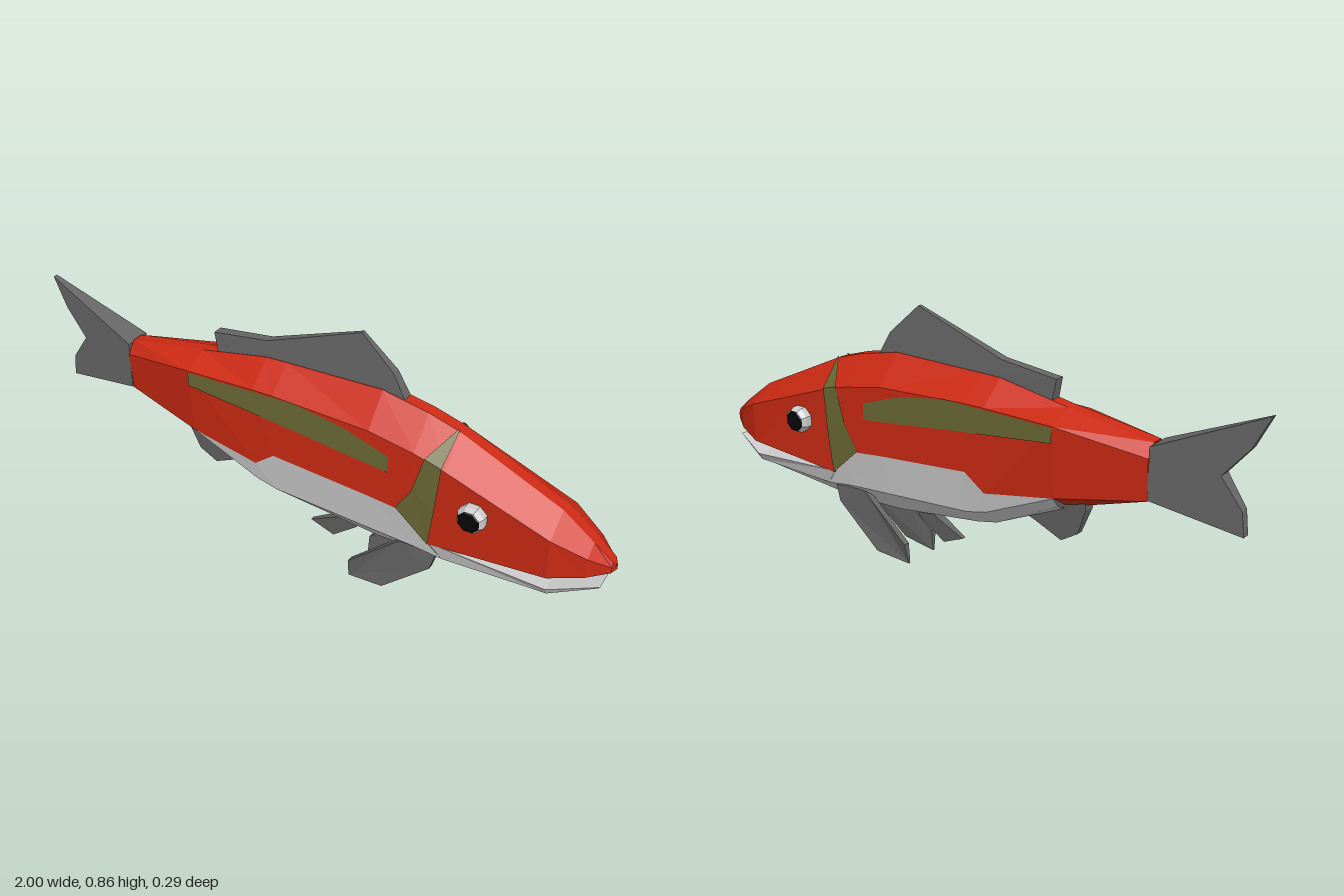
import * as THREE from 'three';

const material = (color) => new THREE.MeshStandardMaterial({ color, flatShading: true, side: THREE.DoubleSide });
const red = material(0xcc2a14), green = material(0x6b6834), pale = material(0xcccccc);
const finGrey = material(0x666666), black = material(0x080808);

// Rows run tail to nose, listed from upper to lower; the skin is mirrored across z = 0.
function skin(name, rows, mat) {
  const pos = [];
  const quad = (a, b, c, d, s) => {
    const order = s > 0 ? [a, b, c, a, c, d] : [a, c, b, a, d, c];
    for (const p of order) pos.push(p[0], p[1], p[2] * s);
  };
  for (let j = 0; j < rows.length - 1; j++)
    for (let i = 0; i < rows[j].length - 1; i++)
      for (const s of [1, -1])
        quad(rows[j][i], rows[j + 1][i], rows[j + 1][i + 1], rows[j][i + 1], s);
  const geo = new THREE.BufferGeometry();
  geo.setAttribute('position', new THREE.Float32BufferAttribute(pos, 3));
  geo.computeVertexNormals();
  const mesh = new THREE.Mesh(geo, mat);
  mesh.name = name;
  return mesh;
}

const row = (xs, ys, zs) => xs.map((x, i) => [x, ys[i], zs[i]]);
const centre = (r, lift = 0) => r.map(([x, y]) => [x, y + lift, 0]);

// Fin from an outline; half(x, y) is the half thickness and mid(x, y) the sideways position.
function fin(name, outline, half, mid = () => 0) {
  const shape = new THREE.Shape(outline.map(([x, y]) => new THREE.Vector2(x, y)));
  const geo = new THREE.ExtrudeGeometry(shape, { depth: 2, bevelEnabled: false });
  const p = geo.attributes.position;
  for (let i = 0; i < p.count; i++) {
    const x = p.getX(i), y = p.getY(i);
    p.setZ(i, mid(x, y) + (p.getZ(i) - 1) * half(x, y));
  }
  geo.computeVertexNormals();
  const mesh = new THREE.Mesh(geo, finGrey);
  mesh.name = name;
  return mesh;
}

export function createModel() {
  const fish = new THREE.Group();
  fish.name = 'fish';

  // Red back, flanks and upper head, closed at the nose
  const xs = [-0.67, -0.39, -0.15, -0.08, 0.25, 0.4, 0.5, 0.83, 0.93, 0.99, 1];
  const ridge = row(xs, [0.6, 0.645, 0.69, 0.692, 0.7, 0.67, 0.64, 0.49, 0.415, 0.365, 0.345],
    [0.02, 0.02, 0.02, 0.02, 0.02, 0.02, 0.02, 0.02, 0.02, 0.015, 0]);
  const shoulder = row(xs, [0.56, 0.61, 0.617, 0.618, 0.605, 0.578, 0.55, 0.435, 0.385, 0.35, 0.342],
    [0.05, 0.105, 0.105, 0.105, 0.105, 0.105, 0.105, 0.105, 0.065, 0.022, 0]);
  const edge = row([-0.67, -0.39, -0.15, -0.08, 0.25, 0.4, 0.46, 0.83, 0.93, 0.99, 1],
    [0.43, 0.385, 0.345, 0.4, 0.375, 0.36, 0.27, 0.3, 0.318, 0.332, 0.336],
    [0.04, 0.09, 0.1, 0.105, 0.105, 0.105, 0.1, 0.1, 0.062, 0.022, 0]);
  fish.add(skin('upperBody', [centre(ridge), ridge, shoulder, edge], red));
  fish.add(skin('mouthRoof', [edge.slice(6), centre(edge.slice(6), 0.02)], red));
  fish.add(skin('tailUnderside', [edge.slice(0, 2), [[-0.67, 0.43, 0], [-0.39, 0.33, 0]]], red));

  // Pale belly
  const bx = [-0.39, -0.15, -0.08, 0.25, 0.4, 0.5];
  const low = row(bx, [0.35, 0.28, 0.265, 0.245, 0.235, 0.22], [0.06, 0.09, 0.092, 0.092, 0.09, 0.085]);
  const keel = row(bx, [0.33, 0.225, 0.21, 0.165, 0.16, 0.16], [0.015, 0.03, 0.03, 0.02, 0.015, 0.015]);
  fish.add(skin('belly', [edge.slice(1, 7), low, keel, centre(keel)], pale));

  // Lower jaw
  const lip = [[0.46, 0.275, 0.1], [0.83, 0.25, 0.09], [0.97, 0.28, 0.035], [0.97, 0.28, 0]];
  const jawSide = [[0.5, 0.22, 0.085], [0.83, 0.225, 0.075], [0.965, 0.272, 0.032], [0.965, 0.272, 0]];
  const jawKeel = [[0.5, 0.16, 0.015], [0.83, 0.2, 0.03], [0.96, 0.262, 0.02], [0.96, 0.262, 0]];
  fish.add(skin('lowerJaw', [centre(lip), lip, jawSide, jawKeel, centre(jawKeel)], pale));

  // Green markings
  const sx = [-0.39, 0, 0.17, 0.32], sz = [0.108, 0.108, 0.108, 0.108];
  fish.add(skin('flankStripe', [row(sx, [0.607, 0.617, 0.59, 0.54], sz),
    row(sx, [0.56, 0.52, 0.5, 0.485], sz)], green));
  fish.add(skin('gillBand', [
    [[0.495, 0.646, 0.022], [0.5, 0.644, 0.022]],
    [[0.435, 0.574, 0.109], [0.49, 0.558, 0.109]],
    [[0.4, 0.45, 0.109], [0.475, 0.4, 0.109]],
    [[0.35, 0.37, 0.109], [0.46, 0.272, 0.106]],
  ], green));

  // Fins along the middle
  fish.add(fin('dorsalFin', [[-0.33, 0.64], [-0.345, 0.72], [-0.15, 0.745], [0.17, 0.86], [0.28, 0.76],
    [0.33, 0.67]], (x, y) => 0.02 - Math.max(0, y - 0.68) * 0.072));
  fish.add(fin('tailFin', [[-0.67, 0.595], [-1, 0.74], [-0.95, 0.64], [-0.875, 0.55], [-0.94, 0.46],
    [-0.95, 0.385], [-0.67, 0.435]], (x) => 0.008 + (x + 1) * 0.115));
  fish.add(fin('analFin', [[-0.37, 0.4], [-0.46, 0.375], [-0.46, 0.34], [-0.43, 0.255], [-0.37, 0.217],
    [-0.27, 0.265], [-0.2, 0.29]], (x, y) => 0.006 + (y - 0.21) * 0.12));
  fish.add(fin('pelvicFin', [[0.12, 0.185], [0, 0.12], [0.08, 0.085], [0.17, 0.16], [0.18, 0.185]],
    (x, y) => 0.002 + (y - 0.085) * 0.16));

  // Paired fins and eyes
  for (const [side, s] of [['left', -1], ['right', 1]].map(([n, v]) => [n, -v])) {
    // The head points along x, so the pairs sit on either side of z = 0
    fish.add(fin(side + 'PectoralFin', [[0.35, 0.22], [0.18, 0.075], [0.175, 0.005], [0.3, 0.02],
      [0.46, 0.16], [0.48, 0.23]], (x, y) => Math.min(0.011, 0.003 + y * 0.12),
    (x, y) => s * (y < 0.01 ? 0.064 : 0.074 - y * 0.04)));

    const eye = new THREE.Group();
    eye.name = side + 'Eye';
    const disc = (name, rTop, rBottom, h, z, mat) => {
      const geo = new THREE.CylinderGeometry(rTop, rBottom, h, 8).rotateY(Math.PI / 8).rotateX(Math.PI / 2);
      const mesh = new THREE.Mesh(geo, mat);
      mesh.name = name;
      mesh.position.z = z;
      eye.add(mesh);
    };
    disc('eyeball', 0.045, 0.045, 0.03, 0.11, pale);
    disc('eyeRim', 0.036, 0.045, 0.014, 0.132, pale);
    disc('pupil', 0.032, 0.036, 0.004, 0.141, black);
    eye.position.set(0.597, 0.432, 0);
    if (s < 0) eye.rotation.y = Math.PI;
    fish.add(eye);
  }
  return fish;
}
